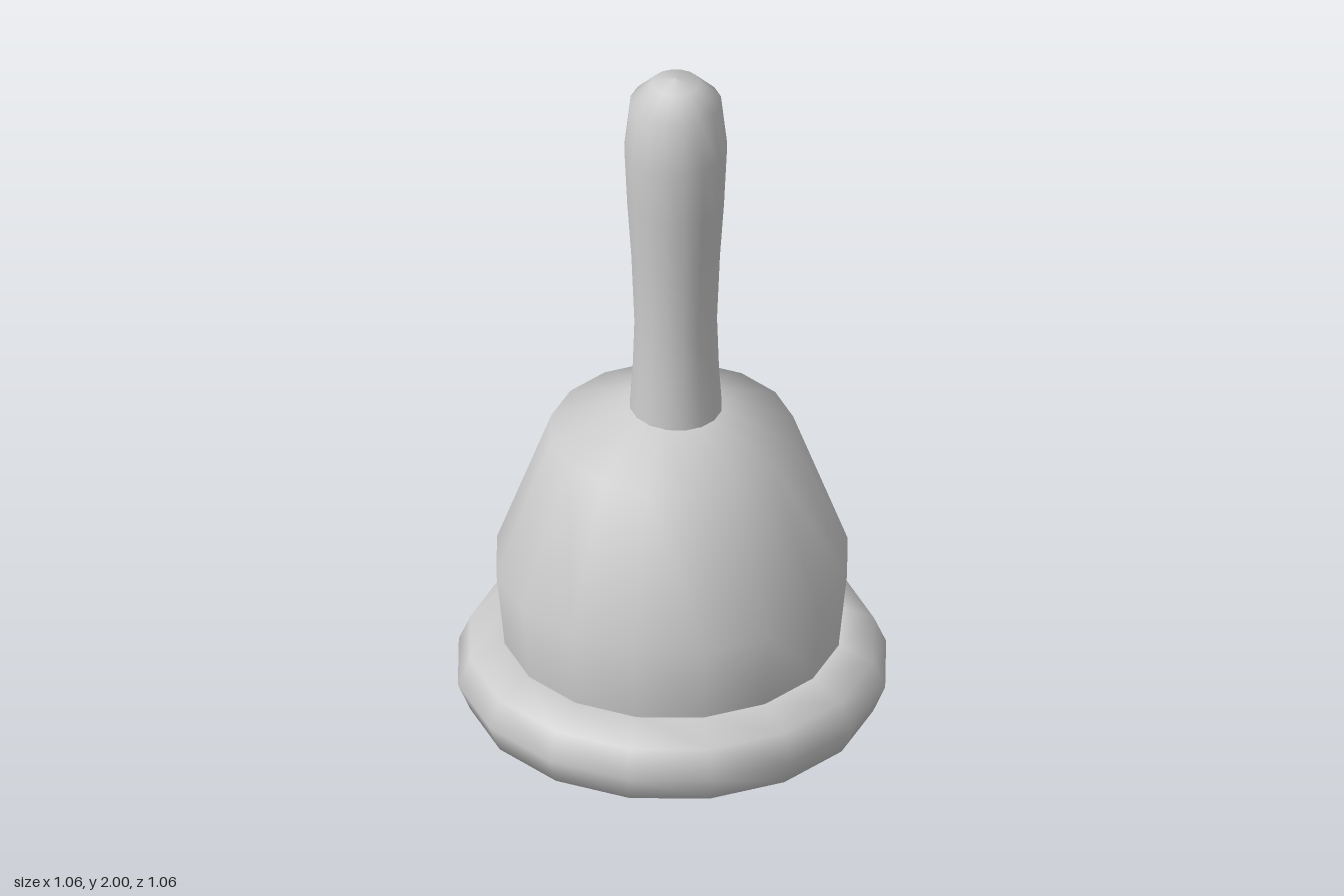
import * as THREE from 'three';

const SIDES = 16;

export function createModel() {
  const group = new THREE.Group();
  const grey = new THREE.MeshStandardMaterial({ color: 0xcccccc });
  const greyOpen = new THREE.MeshStandardMaterial({ color: 0xcccccc, side: THREE.DoubleSide });

  const add = (name, geometry, material = grey) => {
    const mesh = new THREE.Mesh(geometry, material);
    mesh.name = name;
    group.add(mesh);
    return mesh;
  };
  // Profiles run from bottom to top as [radius, height]
  const lathe = (profile) =>
    new THREE.LatheGeometry(profile.map(([r, y]) => new THREE.Vector2(r, y)), SIDES);

  // Hollow bell shell, closed at the shoulder
  add('bellBody', lathe([
    [0.415, 0.35], [0.415, 0.41], [0.435, 0.605], [0.30, 0.975], [0.11, 1.055], [0, 1.06],
  ]), greyOpen);

  // Thick rolled rim, a closed ring section with its seam on the inside
  add('rim', lathe([
    [0.325, 0.295], [0.345, 0.21], [0.40, 0.165], [0.50, 0.222],
    [0.53, 0.295], [0.50, 0.365], [0.42, 0.405], [0.345, 0.37], [0.325, 0.295],
  ]));

  // Waisted handle with a domed end, set slightly toward the front
  const handle = add('handle', lathe([
    [0.115, 1.03], [0.107, 1.15], [0.102, 1.3], [0.11, 1.5], [0.12, 1.65],
    [0.127, 1.8], [0.112, 1.935], [0.06, 1.988], [0, 2],
  ]));
  handle.position.set(0.003, 0, 0.012);

  // Clapper: low-sided ball hanging on a thin rod
  const ball = add('clapperBall', new THREE.SphereGeometry(0.175, 8, 4));
  ball.position.y = 0.18;
  const rod = add('clapperRod', new THREE.CylinderGeometry(0.045, 0.045, 0.72, 8));
  rod.position.y = 0.66;

  return group;
}
